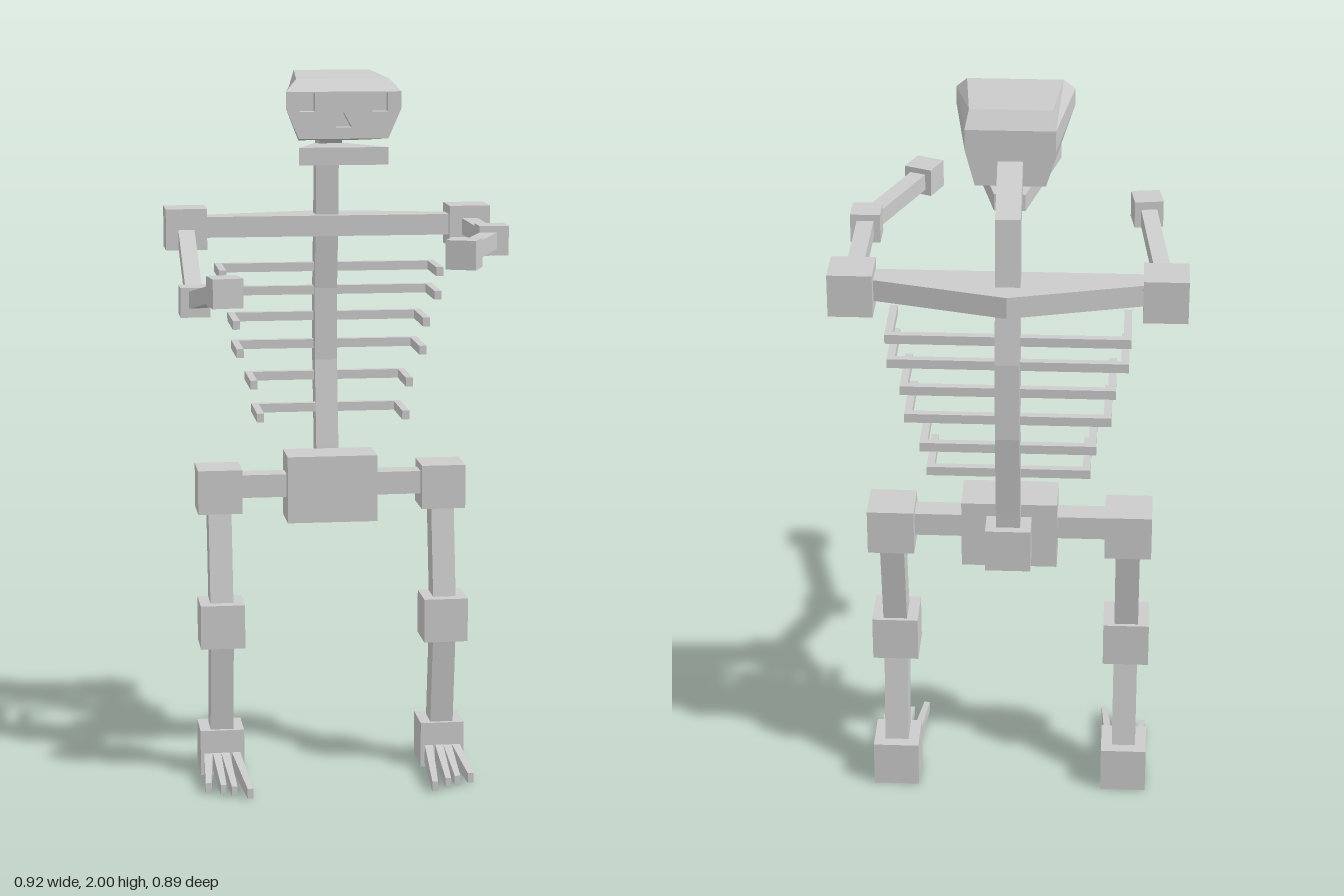
import * as THREE from 'three';

const material = new THREE.MeshStandardMaterial({ color: 0xcccccc, flatShading: true });
const V = (x, y, z) => new THREE.Vector3(x, y, z);

function add(parent, name, geometry) {
  const mesh = new THREE.Mesh(geometry, material);
  mesh.name = name;
  parent.add(mesh);
  return mesh;
}

function box(parent, name, w, h, d, x, y, z) {
  const mesh = add(parent, name, new THREE.BoxGeometry(w, h, d));
  mesh.position.set(x, y, z);
  return mesh;
}

// Square bar between two points
function beam(parent, name, a, b, w, h = w) {
  const mesh = add(parent, name, new THREE.BoxGeometry(w, h, a.distanceTo(b)));
  mesh.position.copy(a).add(b).multiplyScalar(0.5);
  mesh.lookAt(b);
  return mesh;
}

// Closed flat-faced solid through four-cornered rings; skip(k, i) leaves a side open
function loft(rings, skip = () => false) {
  const points = [];
  for (let k = 0; k < rings.length - 1; k++) {
    for (let i = 0; i < 4; i++) {
      if (skip(k, i)) continue;
      const j = (i + 1) % 4, p = rings[k], q = rings[k + 1];
      points.push(p[i], p[j], q[j], p[i], q[j], q[i]);
    }
  }
  const s = rings[0], e = rings[rings.length - 1];
  points.push(s[0], s[2], s[1], s[0], s[3], s[2], e[0], e[1], e[2], e[0], e[2], e[3]);
  const geometry = new THREE.BufferGeometry().setFromPoints(points);
  geometry.computeVertexNormals();
  return geometry;
}

// Horizontal ring with its own width, depth and height at front and back
const level = (hf, zf, yf, hb, zb, yb) =>
  [V(hf, yf, zf), V(hb, yb, zb), V(-hb, yb, zb), V(-hf, yf, zf)];

const polygon = (pts) => pts.map(([x, y]) => new THREE.Vector2(x, y));

function buildHead() {
  const head = new THREE.Group();
  head.name = 'head';
  const zf = 0.055;

  // Cranium, with its face left open for the mask
  add(head, 'cranium', loft([
    level(0.12, zf, 1.83, 0.09, -0.24, 1.805),
    level(0.155, zf, 1.91, 0.115, -0.24, 1.9),
    level(0.155, zf, 1.955, 0.115, -0.24, 1.955),
    level(0.125, 0.03, 1.988, 0.105, -0.212, 2),
  ], (k, i) => i === 3 && k < 2));

  // Face with eye and nose holes
  const face = new THREE.Shape(polygon(
    [[-0.12, 1.83], [0.12, 1.83], [0.155, 1.91], [0.155, 1.955], [-0.155, 1.955], [-0.155, 1.91]]));
  const holes = [-0.098, 0.098].map((x) => polygon(
    [[x - 0.021, 1.902], [x + 0.021, 1.902], [x + 0.021, 1.952], [x - 0.021, 1.952]]));
  holes.push(polygon([[-0.022, 1.86], [0.022, 1.86], [0, 1.9]]));
  holes.forEach((h) => face.holes.push(new THREE.Path(h)));
  add(head, 'face', new THREE.ShapeGeometry(face)).position.z = zf;

  // Recesses behind the holes, turned inside out
  holes.forEach((h, i) => {
    const geometry = new THREE.ExtrudeGeometry(new THREE.Shape(h), { depth: 0.035, bevelEnabled: false });
    geometry.scale(1, 1, -1);
    geometry.computeVertexNormals();
    add(head, i < 2 ? 'eyeSocket' : 'noseSocket', geometry).position.z = zf;
  });

  // Jaw plate narrowing to the neck
  add(head, 'jaw', loft([
    level(0.12, zf, 1.76, 0.04, -0.27, 1.75),
    level(0.12, zf, 1.807, 0.04, -0.27, 1.795),
  ]));
  return head;
}

function buildTorso() {
  const torso = new THREE.Group();
  torso.name = 'torso';

  // Curved spine and neck, given as [z, y]
  const path = [[-0.335, 0.8], [-0.35, 0.93], [-0.382, 1.17], [-0.38, 1.38],
    [-0.355, 1.56], [-0.337, 1.755], [-0.225, 1.85]];
  add(torso, 'spine', loft(path.map(([z, y], i) => {
    const a = path[Math.max(i - 1, 0)], b = path[Math.min(i + 1, path.length - 1)];
    const n = new THREE.Vector2(b[1] - a[1], a[0] - b[0]).setLength(0.032);
    const w = 0.032;
    return [V(w, y + n.y, z + n.x), V(w, y - n.y, z - n.x), V(-w, y - n.y, z - n.x), V(-w, y + n.y, z + n.x)];
  })));

  // Shoulder girdle, peaked at the back
  const girdle = new THREE.ExtrudeGeometry(new THREE.Shape(polygon(
    [[-0.36, 0.29], [0.36, 0.29], [0.36, 0.353], [0, 0.445], [-0.36, 0.353]])),
  { depth: 0.058, bevelEnabled: false });
  girdle.rotateX(-Math.PI / 2);
  add(torso, 'shoulderGirdle', girdle).position.y = 1.532;

  // Ribs: [height, half width, back z, front z]
  const ribs = [[1.437, 0.305, -0.375, -0.21], [1.37, 0.3, -0.38, -0.21], [1.295, 0.268, -0.385, -0.21],
    [1.215, 0.258, -0.385, -0.21], [1.125, 0.22, -0.375, -0.21], [1.037, 0.205, -0.345, -0.175]];
  for (const [y, w, back, front] of ribs) {
    for (const s of [-1, 1]) {
      beam(torso, 'rib', V(0, y, back), V(s * w, y, back), 0.02, 0.025);
      beam(torso, 'ribEnd', V(s * w, y, back - 0.01), V(s * w, y, front), 0.02, 0.025);
    }
  }

  // Pelvis and tail block
  box(torso, 'pelvis', 0.255, 0.19, 0.127, 0, 0.825, -0.256);
  box(torso, 'spineBase', 0.12, 0.12, 0.12, 0, 0.823, -0.34);
  beam(torso, 'hipBar', V(-0.3, 0.833, -0.255), V(0.3, 0.833, -0.255), 0.065);
  return torso;
}

function buildArm(name, side, elbow, hand) {
  const arm = new THREE.Group();
  arm.name = name;
  const shoulder = V(side * 0.4, 1.557, -0.33);
  box(arm, 'shoulder', 0.115, 0.115, 0.115, ...shoulder);
  beam(arm, 'upperArm', shoulder, elbow, 0.045);
  box(arm, 'elbow', 0.08, 0.08, 0.08, ...elbow);
  beam(arm, 'forearm', elbow, hand, 0.045);
  const fist = box(arm, 'hand', 0.08, 0.076, 0.08, ...hand);
  fist.rotation.y = Math.atan2(hand.x - elbow.x, hand.z - elbow.z);
  return arm;
}

function buildLeg(name, s) {
  const leg = new THREE.Group();
  leg.name = name;
  const x = s * 0.318;
  const joints = [V(x, 0.823, -0.265), V(x, 0.447, -0.2), V(x, 0.065, -0.255)];
  box(leg, 'hip', 0.125, 0.125, 0.125, x, 0.823, -0.258);
  box(leg, 'knee', 0.125, 0.125, 0.125, ...joints[1]);
  box(leg, 'ankle', 0.125, 0.13, 0.125, ...joints[2]);
  beam(leg, 'thigh', joints[0], joints[1], 0.065, 0.08);
  beam(leg, 'shin', joints[1], joints[2], 0.065, 0.08);

  // Fanned, tapered toes: [base x, tip x, tip z]
  const ring = (cx, w, y0, y1, z) => [V(cx + w, y0, z), V(cx + w, y1, z), V(cx - w, y1, z), V(cx - w, y0, z)];
  for (const [base, tip, z] of [[0.28, 0.26, 0.045], [0.31, 0.302, 0.018], [0.334, 0.331, 0], [0.358, 0.372, -0.02]]) {
    add(leg, 'toe', loft([
      ring(s * base, 0.012, 0.012, 0.065, -0.2),
      ring(s * tip, 0.008, 0.002, 0.03, z),
    ]));
  }
  return leg;
}

export function createModel() {
  const model = new THREE.Group();
  model.name = 'skeleton';
  model.add(
    buildHead(),
    buildTorso(),
    buildArm('leftArm', 1, V(0.4, 1.557, 0.067), V(0.27, 1.557, 0.388)),
    buildArm('rightArm', -1, V(-0.402, 1.398, 0.03), V(-0.35, 1.468, 0.392)),
    buildLeg('leftLeg', 1),
    buildLeg('rightLeg', -1),
  );
  return model;
}
